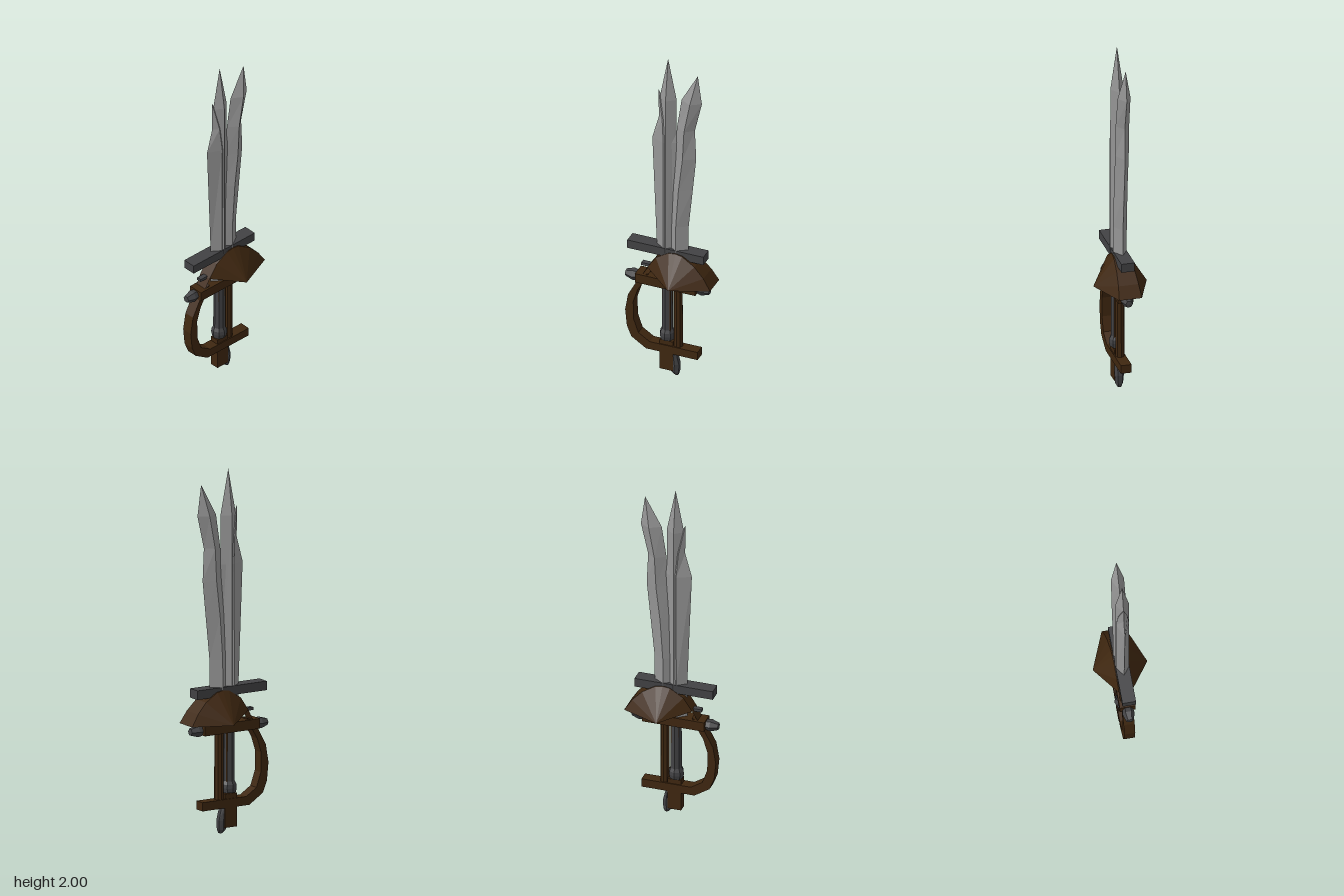
import * as THREE from 'three';

const steel = new THREE.MeshStandardMaterial({ color: 0x969696, name: 'bladeSteel' });
const iron = new THREE.MeshStandardMaterial({ color: 0x424244, name: 'darkIron' });
const wood = new THREE.MeshStandardMaterial({ color: 0x3f2710, name: 'darkBrown' });
const shell = new THREE.MeshStandardMaterial({ color: 0x3f2710, name: 'darkBrownShell', side: THREE.DoubleSide });
for (const m of [steel, iron, wood, shell]) m.flatShading = true;

// Flat-faced geometry from a list of triangles
function facets(tris) {
  const g = new THREE.BufferGeometry();
  g.setAttribute('position', new THREE.Float32BufferAttribute(tris.flat(2), 3));
  g.computeVertexNormals();
  return g;
}

// Skin between rings listed from bottom to top, capped at both ends
function loft(rings) {
  const tris = [], n = rings[0].length;
  for (let i = 0; i < rings.length - 1; i++) {
    for (let j = 0; j < n; j++) {
      const k = (j + 1) % n, a = rings[i], b = rings[i + 1];
      tris.push([a[j], a[k], b[k]], [a[j], b[k], b[j]]);
    }
  }
  const lo = rings[0], hi = rings[rings.length - 1];
  for (let j = 1; j < n - 1; j++) tris.push([lo[0], lo[j + 1], lo[j]], [hi[0], hi[j], hi[j + 1]]);
  return facets(tris);
}

// Diamond-section blade: each row is y, left edge, ridge, right edge, half thickness
const blade = (rows) => loft(rows.map(([y, l, r, e, t]) => [[e, y, 0], [r, y, -t], [l, y, 0], [r, y, t]]));

export function createModel() {
  const group = new THREE.Group();
  const add = (name, geometry, material, x = 0, y = 0, z = 0) => {
    const mesh = new THREE.Mesh(geometry, material);
    mesh.name = name;
    mesh.position.set(x, y, z);
    group.add(mesh);
    return mesh;
  };
  // Box given by its x and y limits and half depth
  const bar = (name, mat, x0, x1, y0, y1, hz) =>
    add(name, new THREE.BoxGeometry(x1 - x0, y1 - y0, hz * 2), mat, (x0 + x1) / 2, (y0 + y1) / 2);

  // Blades
  add('longBlade', blade([
    [0.78, -0.062, -0.014, 0.034, 0.038],
    [1.75, -0.062, -0.014, 0.036, 0.037],
    [2.0, -0.014, -0.014, -0.014, 0.0005],
  ]), steel);
  add('wideBlade', blade([
    [0.6, -0.08, -0.03, 0.03, 0.036],
    [0.82, -0.08, -0.03, 0.03, 0.036],
    [1.48, -0.106, -0.028, 0.05, 0.036],
    [1.62, -0.068, -0.038, 0.015, 0.026],
    [1.79, -0.07, -0.069, -0.068, 0.0005],
  ]), steel);
  add('curvedBlade', blade([
    [0.76, -0.012, 0.045, 0.104, 0.038],
    [0.96, -0.01, 0.046, 0.106, 0.038],
    [1.2, 0.005, 0.062, 0.13, 0.038],
    [1.4, 0.025, 0.085, 0.15, 0.038],
    [1.58, 0.038, 0.094, 0.142, 0.038],
    [1.76, 0.065, 0.127, 0.183, 0.036],
    [1.93, 0.158, 0.159, 0.16, 0.0005],
  ]), steel);

  // Long sword hilt
  bar('longCrossGuard', iron, -0.237, 0.207, 0.76, 0.81, 0.037);
  add('longGrip', new THREE.CylinderGeometry(0.029, 0.032, 0.5, 8), iron, -0.018, 0.51);
  add('longPommel', new THREE.LatheGeometry([
    [0.0001, 0.215], [0.038, 0.22], [0.043, 0.245], [0.041, 0.265], [0.031, 0.285],
  ].map(([x, y]) => new THREE.Vector2(x, y)), 8), iron, -0.018);

  // Wide sword hilt, with pointed caps on the guard
  bar('wideCrossGuard', wood, -0.19, 0.162, 0.555, 0.61, 0.043);
  bar('wideGrip', wood, -0.04, 0.008, 0.2, 0.57, 0.022);
  bar('widePommel', wood, -0.053, 0.024, 0.03, 0.215, 0.025);
  for (const s of [-1, 1]) {
    const profile = [[0.0001, 0], [0.028, 0], [0.034, 0.025], [0.02, 0.068], [0.0001, 0.07]];
    const cap = add('guardCap', new THREE.LatheGeometry(
      profile.map(([x, y]) => new THREE.Vector2(x, y)), 6), iron, s < 0 ? -0.19 : 0.162, 0.578);
    cap.rotation.z = -s * Math.PI / 2;
  }
  bar('guardSpur', iron, -0.165, -0.02, 0.655, 0.671, 0.014);

  // Shell guard: an arched strip with faceted cheeks fanning to a low corner
  const arch = [
    [-0.165, 0.58, 0.033], [-0.12, 0.665, 0.036], [-0.07, 0.74, 0.038], [0.005, 0.787, 0.04],
    [0.047, 0.793, 0.042], [0.085, 0.787, 0.044], [0.16, 0.742, 0.05], [0.215, 0.685, 0.056], [0.257, 0.62, 0.063],
  ];
  const tris = [];
  for (let i = 0; i < arch.length - 1; i++) {
    const [[x, y, z], [u, v, w]] = [arch[i], arch[i + 1]];
    tris.push([[x, y, z], [u, v, w], [u, v, -w]], [[x, y, z], [u, v, -w], [x, y, -z]]);
    if (i > 0) {
      tris.push([[x, y, z], [0.047, 0.62, 0.149], [u, v, w]]);
      tris.push([[u, v, -w], [0.047, 0.62, -0.149], [x, y, -z]]);
    }
  }
  add('shellGuard', facets(tris), shell);

  // Knuckle bow joined to the lower bar
  const bow = new THREE.Shape([
    [-0.16, 0.6], [-0.195, 0.535], [-0.235, 0.46], [-0.252, 0.36], [-0.242, 0.26], [-0.216, 0.196],
    [-0.13, 0.14], [0.17, 0.14], [0.17, 0.188], [-0.11, 0.188], [-0.175, 0.23], [-0.203, 0.31],
    [-0.205, 0.42], [-0.18, 0.5], [-0.145, 0.56], [-0.115, 0.62],
  ].map(([x, y]) => new THREE.Vector2(x, y)));
  add('knuckleBow', new THREE.ExtrudeGeometry(bow, { depth: 0.06, bevelEnabled: false }), wood, 0, 0, -0.03);

  // Curved sword grip and its hooked pommel
  add('curvedGrip', new THREE.CylinderGeometry(0.024, 0.026, 0.6, 8), wood, 0.046, 0.48);
  const ring = (y, l, r, z) => [[r, y, z * 0.5], [r, y, -z * 0.5], [(l + r) / 2, y, -z],
    [l, y, -z * 0.5], [l, y, z * 0.5], [(l + r) / 2, y, z]];
  add('curvedPommel', loft([
    ring(0, 0.026, 0.046, 0.012), ring(0.02, 0.008, 0.052, 0.022),
    ring(0.07, 0.012, 0.054, 0.026), ring(0.145, 0.01, 0.036, 0.024),
  ]), iron);

  return group;
}
